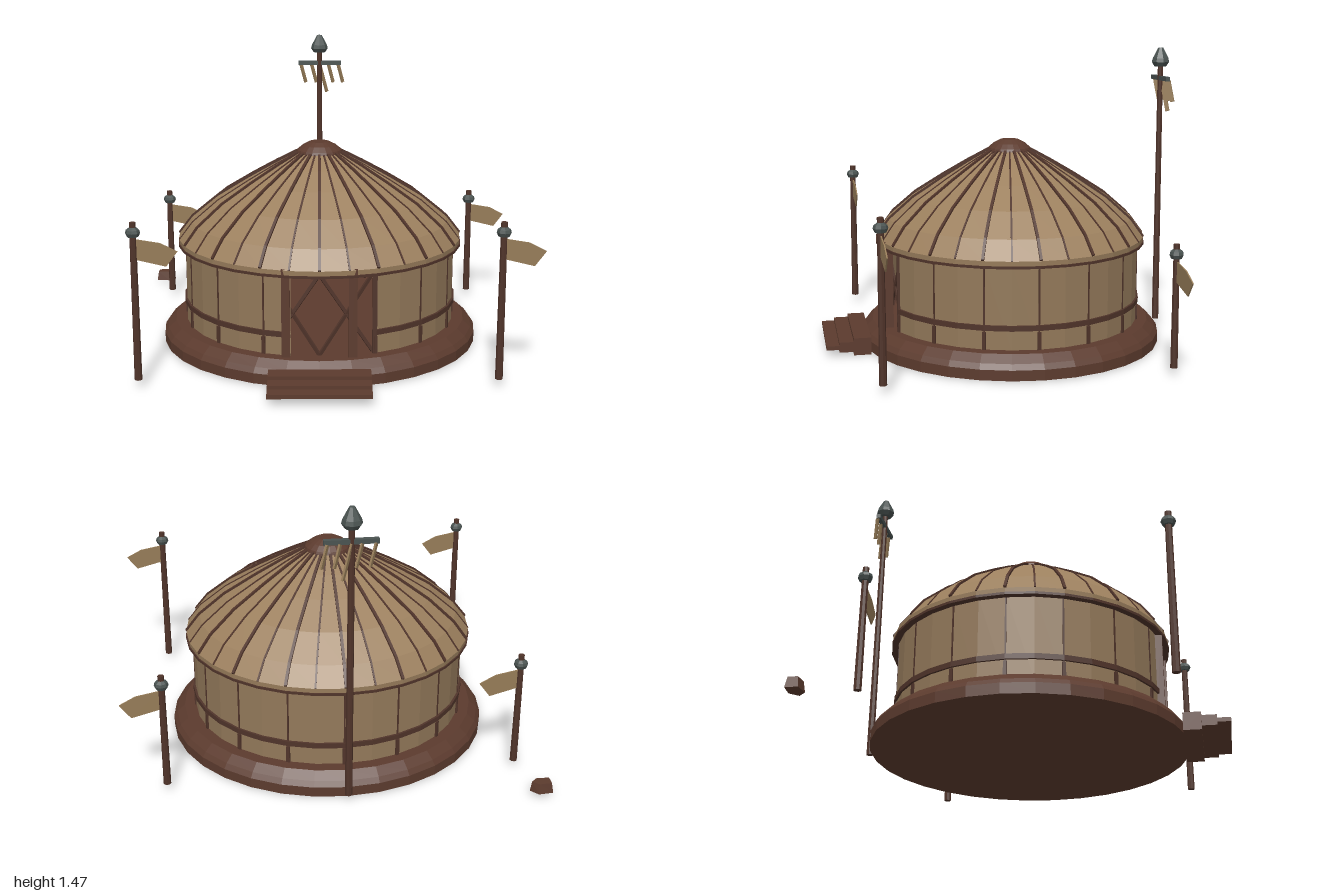
import * as THREE from 'three';

const mat = (name, color, double) => {
  const m = new THREE.MeshStandardMaterial({ color });
  m.name = name;
  if (double) m.side = THREE.DoubleSide;
  return m;
};
const V = (x, y, z) => new THREE.Vector3(x, y, z);
const pts = (list) => list.map(([x, y]) => new THREE.Vector2(x, y));

// faceted normals
function flat(geo) {
  const g = geo.index ? geo.toNonIndexed() : geo;
  g.computeVertexNormals();
  return g;
}

function add(parent, name, geo, material, x = 0, y = 0, z = 0) {
  const m = new THREE.Mesh(geo, material);
  m.name = name;
  m.position.set(x, y, z);
  parent.add(m);
  return m;
}

const lathe = (profile, seg, start = 0, len = Math.PI * 2) =>
  flat(new THREE.LatheGeometry(pts(profile), seg, start, len));

// square bar between two points
function bar(parent, name, a, b, w, d, material) {
  const m = add(parent, name, new THREE.BoxGeometry(w, a.distanceTo(b), d), material);
  m.position.copy(a).add(b).multiplyScalar(0.5);
  m.quaternion.setFromUnitVectors(V(0, 1, 0), b.clone().sub(a).normalize());
  return m;
}

export function createModel() {
  const felt = mat('roof felt', 0x9c805e, true);
  const cloth = mat('wall cloth', 0x93795a, true);
  const wood = mat('red brown wood', 0x5c3b2e);
  const darkWood = mat('dark wood', 0x50342a);
  const iron = mat('dark iron', 0x4a5351);
  const flagCloth = mat('flag cloth', 0x967c58, true);

  const model = new THREE.Group();
  model.name = 'roundTent';

  // The tent is slightly shallower than wide
  const tent = new THREE.Group();
  tent.name = 'tent';
  tent.position.set(-0.038, 0, -0.036);
  tent.scale.z = 0.947;
  model.add(tent);

  add(tent, 'platform', lathe([[0, 0.005], [0.803, 0.005], [0.803, 0.055], [0.785, 0.08],
    [0.745, 0.115], [0, 0.115]], 32), wood);

  // Wall and band, open at the doorway
  const step = Math.PI / 16;
  const start = step * 2, sweep = step * 29;
  add(tent, 'wall', lathe([[0.686, 0.11], [0.686, 0.52]], 29, start, sweep), cloth);
  add(tent, 'wallBand', lathe([[0.68, 0.207], [0.697, 0.207], [0.697, 0.232], [0.68, 0.232]],
    29, start, sweep), darkWood);

  // Roof with a concave slope toward the crown
  const slope = [[0.718, 0.54], [0.65, 0.628], [0.52, 0.735], [0.36, 0.832], [0.23, 0.905], [0.115, 0.965]];
  add(tent, 'roof', lathe([[0.68, 0.51], [0.715, 0.51], ...slope], 32), felt);
  add(tent, 'eaveRing', lathe([[0.69, 0.505], [0.722, 0.505], [0.722, 0.517], [0.69, 0.517]], 32), darkWood);
  add(tent, 'crown', lathe([[0.1, 0.945], [0.121, 0.955], [0.112, 0.978], [0.085, 1.0],
    [0.05, 1.018], [0, 1.018]], 20), wood);

  // Roof ribs: main ones alternate with thinner ones
  const ribGeometry = (width, rise) => {
    const outer = slope.map(([r, y]) => [r + rise * 0.5, y + rise]);
    const inner = slope.map(([r, y]) => [r - 0.01, y - 0.015]).reverse();
    const g = new THREE.ExtrudeGeometry(new THREE.Shape(pts([...outer, ...inner])),
      { depth: width, bevelEnabled: false });
    return g.translate(0, 0, -width / 2);
  };
  const mainRib = ribGeometry(0.014, 0.008);
  const thinRib = ribGeometry(0.009, 0.003);
  for (let i = 0; i < 32; i++) {
    const rib = add(tent, 'roofRib', i % 2 ? thinRib : mainRib, darkWood);
    rib.rotation.y = i * step;
  }

  // Wall battens with feet, and the crossed lattice inside
  const at = (a, r, y) => V(Math.sin(a) * r, y, Math.cos(a) * r);
  for (let i = 0; i < 16; i++) {
    const a = i * step * 2;
    if (i > 0) {
      const batten = add(tent, 'wallBatten', new THREE.BoxGeometry(0.008, 0.4, 0.02), darkWood);
      batten.position.copy(at(a, 0.679, 0.315));
      batten.rotation.y = a;
      const foot = add(tent, 'battenFoot', new THREE.BoxGeometry(0.018, 0.09, 0.02), darkWood);
      foot.position.copy(at(a, 0.684, 0.155));
      foot.rotation.y = a;
    }
    for (const s of [-1, 1])
      bar(tent, 'latticeBar', at(a, 0.662, 0.51), at(a + s * step * 2, 0.662, 0.115), 0.016, 0.012, darkWood);
  }
  const jamb = add(tent, 'doorEdge', new THREE.BoxGeometry(0.022, 0.4, 0.03), darkWood);
  jamb.position.copy(at(step * 2, 0.68, 0.315));
  for (const s of [-1, 1])
    add(tent, 'doorPost', new THREE.BoxGeometry(0.04, 0.43, 0.042), wood, s * 0.157, 0.33, 0.674);

  // Entrance steps
  [[0.742, 0.045, 0.085, 0.085], [0.82, 0.045, 0.07, 0.05], [0.884, 0.044, 0.066, 0.02]].forEach(
    ([z, y, depth, h]) =>
      add(model, 'entranceStep', new THREE.BoxGeometry(0.475, h, depth), wood, -0.037, y, z));

  // Flag poles: tall pair in front, short pair behind
  const flagShape = new THREE.Shape(pts([[0.005, 0], [0.005, -0.095], [0.145, -0.13],
    [0.197, -0.06], [0.12, -0.02]]));
  const flagGeo = new THREE.ExtrudeGeometry(flagShape, { depth: 0.006, bevelEnabled: false });
  const poles = [[-0.874, 0.7, 0.79], [0.792, 0.7, 0.79], [-0.883, -0.637, 0.62], [0.803, -0.637, 0.62]];
  for (const [x, z, top] of poles) {
    const g = new THREE.Group();
    g.name = 'flagPole';
    g.position.set(x, 0, z);
    model.add(g);
    const h = top - 0.04;
    add(g, 'pole', flat(new THREE.CylinderGeometry(0.015, 0.018, h, 8)), darkWood, 0, 0.04 + h / 2, 0);
    add(g, 'collar', lathe([[0, -0.066], [0.026, -0.066], [0.034, -0.048], [0.03, -0.034],
      [0.014, -0.022], [0, -0.022]], 8), iron, 0, top, 0);
    const flag = add(g, 'flag', flagGeo, flagCloth, 0, top - 0.078, -0.003);
    flag.rotation.y = 0.04;
  }

  // Tall standard behind the tent
  const mast = new THREE.Group();
  mast.name = 'tallStandard';
  mast.position.set(-0.038, 0, -0.832);
  model.add(mast);
  add(mast, 'mast', flat(new THREE.CylinderGeometry(0.014, 0.018, 1.35, 8)), darkWood, 0, 0.715, 0);
  add(mast, 'finial', lathe([[0, 1.378], [0.032, 1.378], [0.047, 1.4], [0.042, 1.42],
    [0.013, 1.474], [0, 1.474]], 8), iron);
  add(mast, 'crossbar', new THREE.BoxGeometry(0.24, 0.022, 0.022), iron, 0.002, 1.318, 0);
  for (const [x, len] of [[-0.105, 0.105], [-0.045, 0.105], [0.0, 0.16], [0.05, 0.105], [0.105, 0.105]])
    bar(mast, 'tassel', V(x, 1.31, -0.008), V(x + len * 0.26, 1.31 - len, -0.008 - len * 0.13),
      0.02, 0.009, flagCloth);

  // Loose chopping block, tapered toward the top
  const block = new THREE.Shape(pts([[-0.052, -0.03], [0.018, -0.036], [0.053, 0], [0.018, 0.036], [-0.052, 0.03]]));
  const blockGeo = new THREE.ExtrudeGeometry(block, { depth: 0.05, bevelEnabled: false });
  blockGeo.rotateX(-Math.PI / 2);
  const p = blockGeo.attributes.position;
  for (let i = 0; i < p.count; i++)
    if (p.getY(i) > 0.02) p.setXYZ(i, p.getX(i) * 0.85, p.getY(i), p.getZ(i) * 0.75);
  add(model, 'looseBlock', flat(blockGeo), wood, -0.948, 0.025, -0.885);

  return model;
}
